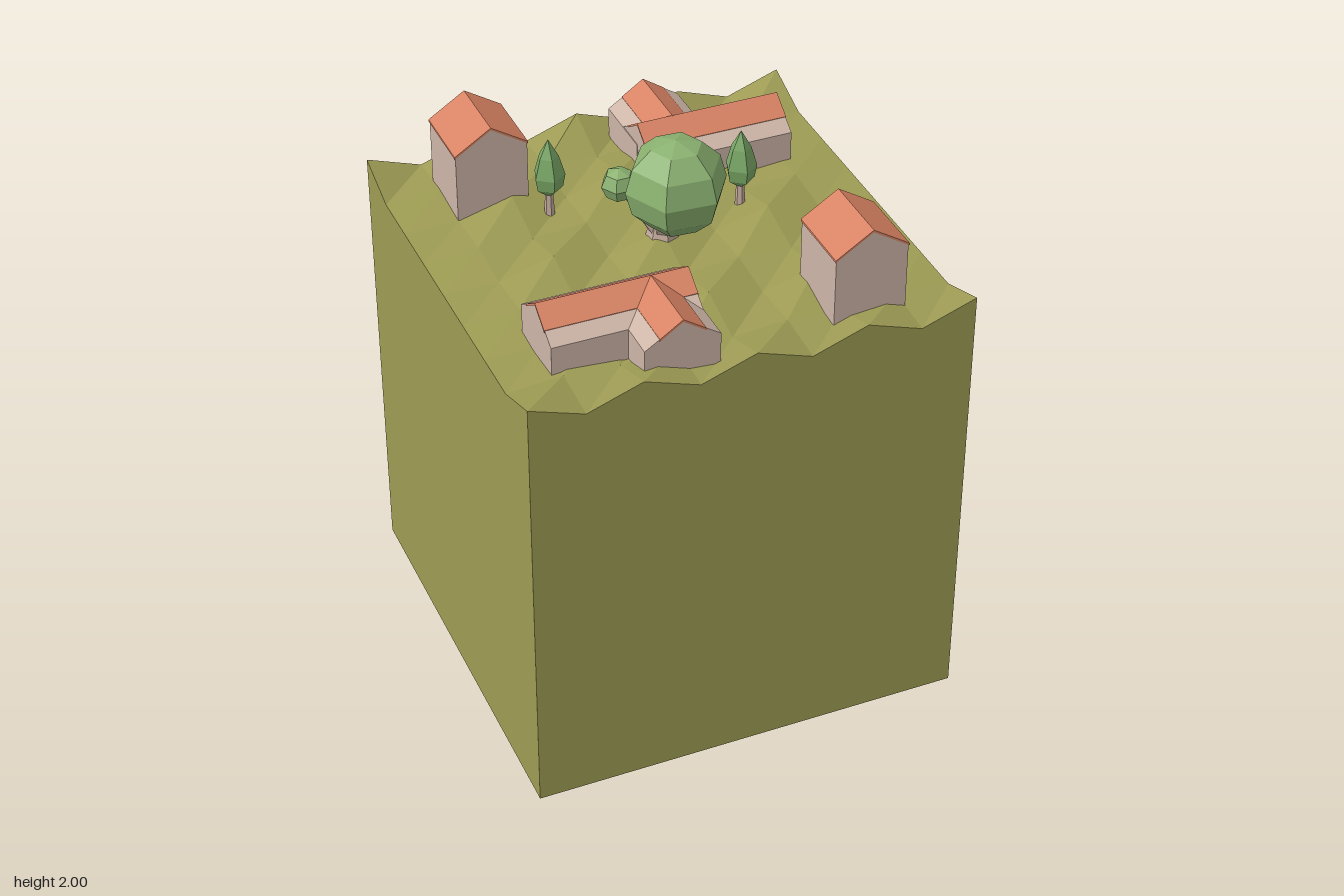
import * as THREE from 'three';

const mat = (name, color) => {
  const m = new THREE.MeshStandardMaterial({ color, flatShading: true });
  m.name = name;
  return m;
};
const GROUND = 1.51;

export function createModel() {
  const grass = mat('olive grass', 0x9e9c54);
  grass.side = THREE.DoubleSide;
  const wall = mat('stone wall', 0xcdb5a7);
  const tile = mat('terracotta roof', 0xd78263);
  const leaf = mat('leaf green', 0x8ab170);
  const darkLeaf = mat('cypress green', 0x7aa866);
  const bark = mat('pale bark', 0xc3aa9c);

  const model = new THREE.Group();
  const add = (parent, name, geo, material) => {
    const m = new THREE.Mesh(geo, material);
    m.name = name;
    parent.add(m);
    return m;
  };

  // Ground block, open underneath: the top grid is pushed into diagonal ridges
  const size = 1.48, n = 8;
  const block = new THREE.BoxGeometry(size, 1, size, n, 1, n);
  const p = block.attributes.position;
  const cell = (v) => Math.round((v / size + 0.5) * n);
  const height = (i, j) => {
    const endRow = j % n === 0, sideRow = i % n === 0;
    if (endRow) return i % 2 ? GROUND : 1.575;
    if (sideRow || i % 2 !== j % 2) return GROUND;
    return i % 2 ? 1.525 : 1.56;
  };
  for (let k = 0; k < p.count; k++) {
    p.setY(k, p.getY(k) < 0 ? 0 : height(cell(p.getX(k)), cell(p.getZ(k))));
  }
  const under = block.groups[3];
  const index = Array.from(block.index.array);
  index.splice(under.start, under.count);
  block.setIndex(index);
  block.clearGroups();
  add(model, 'groundBlock', block, grass);

  // Prism along z from a cross-section, centred on its length
  const prism = (points, length) => {
    const shape = new THREE.Shape(points.map(([x, y]) => new THREE.Vector2(x, y)));
    return new THREE.ExtrudeGeometry(shape, { depth: length, bevelEnabled: false })
      .translate(0, 0, -length / 2);
  };

  // Gabled volume: walls plus a thin tile layer over the upper part of the slopes
  const gable = (parent, name, length, half, eave, ridge, tileHalf) => {
    const g = new THREE.Group();
    g.name = name;
    add(g, 'walls', prism([[-half, GROUND - 0.01], [half, GROUND - 0.01], [half, eave],
      [0, ridge - 0.004], [-half, eave]], length), wall);
    const low = ridge - (ridge - eave) * tileHalf / half, t = 0.008;
    add(g, 'roofTiles', prism([[-tileHalf, low - t], [0, ridge - t], [tileHalf, low - t],
      [tileHalf, low], [0, ridge], [-tileHalf, low]], length + 0.004), tile);
    parent.add(g);
    return g;
  };

  // A long house with a wing and a tall house, repeated by a half turn
  for (const turn of [0, Math.PI]) {
    const side = new THREE.Group();
    side.name = turn ? 'backHouses' : 'frontHouses';
    side.rotation.y = turn;
    const longHouse = gable(side, 'longHouse', 0.498, 0.125, 1.62, 1.705, 0.076);
    longHouse.rotation.y = Math.PI / 2;
    longHouse.position.set(-0.336, 0, 0.41);
    const wing = gable(side, 'houseWing', 0.25, 0.125, 1.62, 1.705, 0.076);
    wing.position.set(-0.21, 0, 0.535);
    const tall = gable(side, 'tallHouse', 0.246, 0.122, 1.755, 1.833, 0.125);
    tall.position.set(0.433, 0, 0.498);
    model.add(side);
  }

  // Tapered limb between two points
  const limb = (parent, name, a, b, r0, r1) => {
    const from = new THREE.Vector3(...a), to = new THREE.Vector3(...b);
    const dir = to.clone().sub(from);
    const m = add(parent, name, new THREE.CylinderGeometry(r1, r0, dir.length(), 6), bark);
    m.position.copy(from).add(to).multiplyScalar(0.5);
    m.quaternion.setFromUnitVectors(new THREE.Vector3(0, 1, 0), dir.normalize());
  };

  // Branching tree in the middle
  const tree = new THREE.Group();
  tree.name = 'branchingTree';
  limb(tree, 'trunk', [0, 1.5, 0], [0, 1.61, 0], 0.065, 0.034);
  const crowns = [
    ['largeCrown', [-0.022, 1.838, 0.165], [0.166, 0.162, 0.166], 6, 6, -0.07],
    ['leftCrown', [-0.13, 1.745, -0.04], [0.06, 0.057, 0.06], 6, 4, 0],
    ['rightCrown', [0.073, 1.672, -0.083], [0.066, 0.062, 0.072], 5, 4, 0.4],
  ];
  for (const [name, at, scale, around, rows, spin] of crowns) {
    limb(tree, name + 'Branch', [0, 1.555, 0], at, 0.034, 0.014);
    const crown = add(tree, name, new THREE.SphereGeometry(1, around, rows), leaf);
    crown.position.set(...at);
    crown.scale.set(...scale);
    crown.rotation.y = spin;
  }
  model.add(tree);

  // Two slender cypresses
  const profile = [[0, 1.575], [0.046, 1.615], [0.054, 1.66], [0.034, 1.73], [0, 1.793]]
    .map(([x, y]) => new THREE.Vector2(x, y));
  for (const [x, z] of [[-0.268, -0.3], [0.322, -0.11]]) {
    const cypress = new THREE.Group();
    cypress.name = 'cypress';
    limb(cypress, 'cypressTrunk', [0, 1.5, 0], [0, 1.62, 0], 0.018, 0.012);
    add(cypress, 'cypressCrown', new THREE.LatheGeometry(profile, 5), darkLeaf);
    cypress.position.set(x, 0, z);
    model.add(cypress);
  }
  return model;
}
